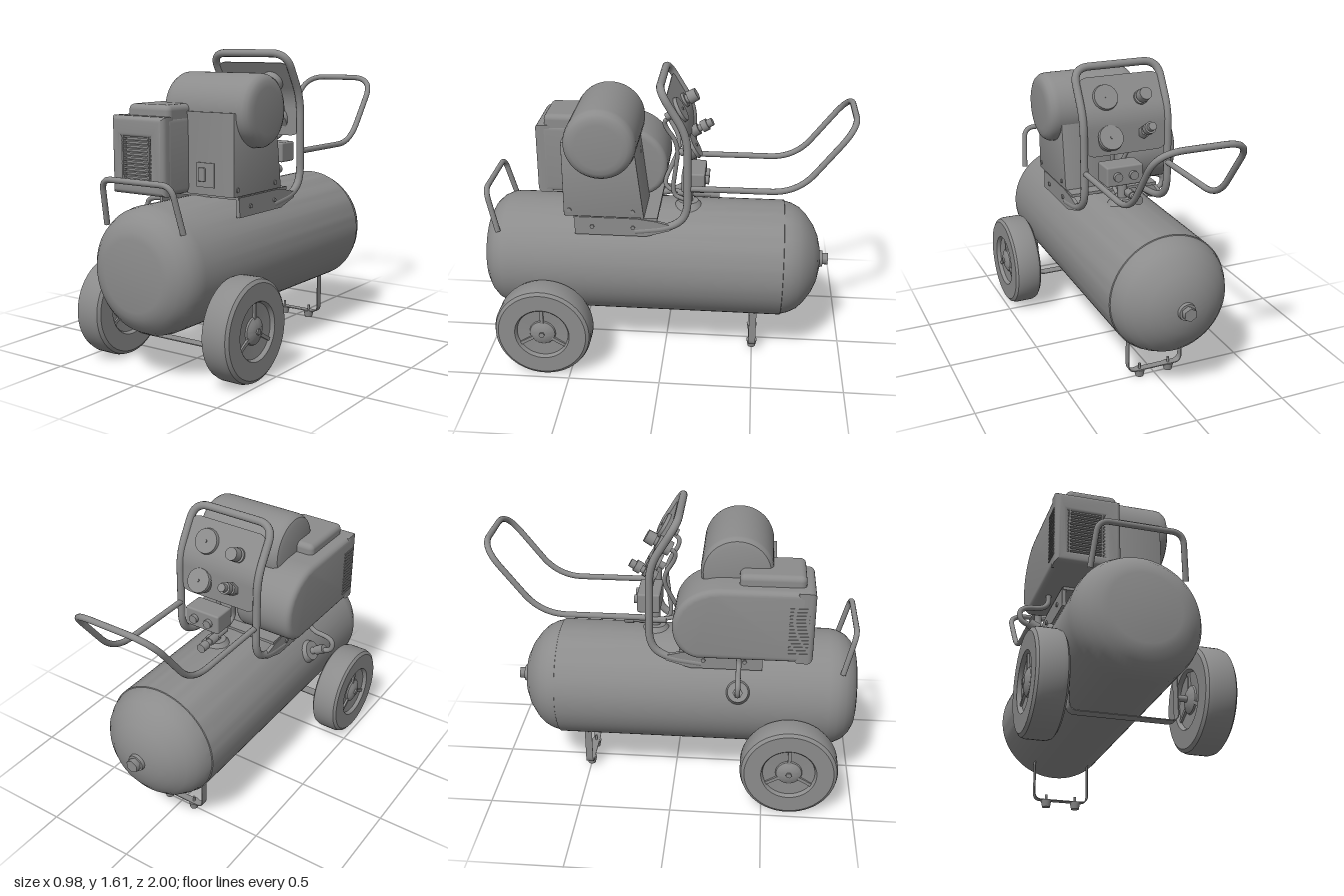
import * as THREE from 'three';
import { toCreasedNormals } from 'three/addons/utils/BufferGeometryUtils.js';
import { RoundedBoxGeometry } from 'three/addons/geometries/RoundedBoxGeometry.js';

const V = (x, y, z) => new THREE.Vector3(x, y, z);
const grey = new THREE.MeshStandardMaterial({ color: 0x8c8c8c });

export function createModel() {
  const root = new THREE.Group();
  const add = (name, geo, parent = root) => {
    const m = new THREE.Mesh(geo, grey);
    m.name = name;
    parent.add(m);
    return m;
  };
  const box = (name, x0, x1, y0, y1, z0, z1, r = 0) => {
    const s = [x1 - x0, y1 - y0, z1 - z0];
    const g = r ? new RoundedBoxGeometry(...s, 3, r) : new THREE.BoxGeometry(...s);
    return add(name, g.translate((x0 + x1) / 2, (y0 + y1) / 2, (z0 + z1) / 2));
  };
  // cylinder between two points
  const rod = (name, a, b, r, r2 = r, sides = 24) => {
    const d = b.clone().sub(a);
    const m = add(name, new THREE.CylinderGeometry(r2, r, d.length(), sides));
    m.position.copy(a).addScaledVector(d, 0.5);
    m.quaternion.setFromUnitVectors(V(0, 1, 0), d.normalize());
    return m;
  };
  // polyline with rounded corners
  const rounded = (pts, r) => {
    const path = new THREE.CurvePath();
    let last = pts[0];
    for (let i = 1; i < pts.length - 1; i++) {
      const p = pts[i];
      const toward = q => {
        const d = q.clone().sub(p);
        return p.clone().addScaledVector(d.clone().normalize(), Math.min(r, d.length() * 0.48));
      };
      const a = toward(pts[i - 1]), b = toward(pts[i + 1]);
      path.add(new THREE.LineCurve3(last, a));
      path.add(new THREE.QuadraticBezierCurve3(a, p, b));
      last = b;
    }
    path.add(new THREE.LineCurve3(last, pts[pts.length - 1]));
    return path;
  };
  const tube = (name, pts, r, bend) => add(name, new THREE.TubeGeometry(rounded(pts, bend), 140, r, 12));
  // mirrors a half path given from the +x end to the middle
  const mirrored = pts => [...pts, ...pts.map(p => V(-p.x, p.y, p.z)).reverse()];
  // thin sheet swept along a path; side gives the direction across it, width(u) its breadth
  const strip = (name, path, side, width) => {
    const g = new THREE.BoxGeometry(1, 0.005, 1, 80, 1, 1), pos = g.attributes.position;
    for (let i = 0; i < pos.count; i++) {
      const u = Math.min(1, Math.max(0, pos.getX(i) + 0.5));
      const up = side.clone().cross(path.getTangentAt(u)).normalize();
      const p = path.getPointAt(u).addScaledVector(up, pos.getY(i)).addScaledVector(side, pos.getZ(i) * width(u));
      pos.setXYZ(i, p.x, p.y, p.z);
    }
    return add(name, toCreasedNormals(g, 0.6));
  };
  const lathe = (pts, crease = 0.6, seg = 64) =>
    toCreasedNormals(new THREE.LatheGeometry(pts.map(p => new THREE.Vector2(...p)), seg), crease);
  const poly = pts => new THREE.Shape(pts.map(p => new THREE.Vector2(...p)));
  // side profile in (z, y), extruded from x0 to x1
  const sideExtrude = (shape, x0, x1, bevel) => toCreasedNormals(new THREE.ExtrudeGeometry(shape, {
    depth: x1 - x0 - 2 * bevel, bevelEnabled: bevel > 0, bevelSize: bevel, bevelThickness: bevel,
    bevelOffset: -bevel, bevelSegments: 4, curveSegments: 16,
  }).rotateY(-Math.PI / 2).translate(x1 - bevel, 0, 0), 0.6);

  // Tank with domed ends, weld seam and rear plug
  add('tank', lathe([[0, -0.86], [0.07, -0.856], [0.13, -0.842], [0.19, -0.815], [0.25, -0.772],
    [0.285, -0.735], [0.308, -0.69], [0.319, -0.65], [0.324, -0.648], [0.324, 0.84], [0.317, 0.885],
    [0.295, 0.93], [0.26, 0.965], [0.215, 0.99], [0.18, 0.997], [0, 1.0]], 0.7)
    .rotateX(Math.PI / 2).translate(0, 0.545, 0));
  rod('tankPlugCollar', V(0, 0.545, -0.84), V(0, 0.545, -0.875), 0.05, 0.045);
  rod('tankPlug', V(0, 0.545, -0.86), V(0, 0.545, -0.905), 0.036, 0.036, 6);

  // Wheels with shallow rims, ribs and domed hubs
  for (const s of [1, -1]) {
    const wheel = new THREE.Group();
    wheel.name = s > 0 ? 'leftWheel' : 'rightWheel';
    wheel.position.set(s * 0.403, 0.265, 0.64);
    wheel.rotation.z = -s * Math.PI / 2;
    root.add(wheel);
    const half = [[0.264, 0.045], [0.257, 0.067], [0.24, 0.079], [0.15, 0.079], [0.145, 0.074],
      [0.14, 0.058], [0.072, 0.054], [0.068, 0.062], [0.045, 0.074], [0.02, 0.079], [0, 0.079]];
    add('tyreAndRim', lathe([...half.map(([r, h]) => [r, -h]).reverse(), ...half]), wheel);
    for (const f of [1, -1]) {
      for (let i = 0; i < 3; i++) {
        const a = Math.PI / 2 + i * Math.PI * 2 / 3;
        const spoke = add('spoke', new THREE.BoxGeometry(0.08, 0.014, 0.018), wheel);
        spoke.position.set(-Math.sin(a) * s * 0.1, f * 0.06, Math.cos(a) * 0.1);
        spoke.rotation.y = Math.atan2(-spoke.position.z, spoke.position.x);
      }
    }
    add('axleNut', new THREE.CylinderGeometry(0.016, 0.016, 0.03, 6).translate(0, 0.073, 0), wheel);
    rod('axle', V(s * 0.268, 0.267, 0.64), V(s * 0.34, 0.267, 0.64), 0.016);
    // rear feet under the leg strip
    rod('foot', V(s * 0.085, 0, -0.5), V(s * 0.085, 0.04, -0.5), 0.022, 0.03);
    rod('footBolt', V(s * 0.085, 0.03, -0.5), V(s * 0.085, 0.072, -0.5), 0.007);
  }
  strip('axleBracket', rounded(mirrored([V(0.27, 0.38, 0.64), V(0.27, 0.14, 0.64)]), 0.04), V(0, 0, 1), () => 0.06);
  strip('rearLeg', rounded(mirrored([V(0.155, 0.28, -0.5), V(0.155, 0.04, -0.5)]), 0.04), V(0, 0, 1), () => 0.04);

  // Handles and the bent frame of the control panel
  tube('frontHandle', mirrored([V(0.24, 0.76, 0.905), V(0.215, 0.995, 0.962)]), 0.015, 0.06);
  tube('rearHandle', mirrored([V(0.24, 1.057, -0.12), V(0.24, 1.057, -0.7), V(0.24, 1.43, -0.983)]), 0.016, 0.14);
  tube('panelFrame', mirrored([V(0.243, 0.8, 0.15), V(0.243, 0.825, -0.04), V(0.243, 0.9, -0.13),
    V(0.243, 1.35, -0.125), V(0.243, 1.59, 0.02)]), 0.021, 0.09);

  // Control panel sheet with rounded corners, gauges, knob and outlet
  strip('controlPanel', rounded([V(0, 1.54, -0.012), V(0, 1.35, -0.125), V(0, 1.14, -0.13)], 0.06), V(1, 0, 0), u => {
    const t = Math.max(0, 1 - Math.min(u, 1 - u) / 0.1);
    return 0.46 - 0.09 * (1 - Math.sqrt(1 - t * t));
  });
  const out = V(0, 0.5, -0.866);
  const onPanel = (name, c, d0, d1, r, r2, sides) =>
    rod(name, c.clone().addScaledVector(out, d0), c.clone().addScaledVector(out, d1), r, r2, sides);
  for (const c of [V(0.1, 1.435, -0.065), V(0.1, 1.235, -0.14)]) {
    onPanel('gaugeBody', c, -0.035, 0.02, 0.062);
    onPanel('gaugeRim', c, 0.01, 0.028, 0.07, 0.066);
    onPanel('gaugePin', c, 0.025, 0.034, 0.008);
    onPanel('gaugeStem', c, -0.07, -0.03, 0.02);
  }
  const knob = V(-0.1, 1.415, -0.07), outlet = V(-0.1, 1.25, -0.14);
  onPanel('regulatorBody', knob, -0.05, 0.03, 0.04);
  onPanel('regulatorStem', knob, 0.02, 0.06, 0.025);
  onPanel('regulatorKnob', knob, 0.045, 0.095, 0.037, 0.034, 16);
  onPanel('outletNut', outlet, -0.04, 0.03, 0.034, 0.034, 6);
  onPanel('outletStem', outlet, 0.02, 0.08, 0.019);
  onPanel('outletSleeve', outlet, 0.05, 0.085, 0.032);
  onPanel('outletTip', outlet, 0.08, 0.115, 0.022);
  tube('gaugeHose', [V(0.1, 1.4, -0.03), V(0.08, 1.36, 0.02), V(0.06, 1.23, -0.07), V(0.04, 0.93, -0.03), V(0.04, 0.9, -0.1)], 0.012, 0.08);
  tube('regulatorHose', [V(-0.1, 1.4, -0.05), V(-0.09, 1.36, 0.015), V(-0.06, 1.2, -0.08), V(0, 0.95, 0.03), V(0, 0.92, -0.12)], 0.012, 0.08);

  // Pressure switch, manifold and outlet cock
  box('pressureSwitch', -0.06, 0.15, 0.99, 1.1, -0.215, -0.09, 0.01);
  for (const x of [0, 0.09]) rod('switchKnob', V(x, 1.045, -0.2), V(x, 1.045, -0.235), 0.024);
  rod('manifoldPost', V(0.02, 0.86, -0.12), V(0.02, 1.01, -0.12), 0.026);
  rod('tankBoss', V(0.02, 0.85, -0.12), V(0.02, 0.89, -0.12), 0.085, 0.055);
  rod('outletPipe', V(0, 0.923, -0.06), V(0, 0.923, -0.29), 0.018);
  rod('outletPipeNut', V(0, 0.923, -0.15), V(0, 0.923, -0.21), 0.025, 0.025, 6);
  rod('outletPipeCollar', V(0, 0.923, -0.24), V(0, 0.923, -0.29), 0.025);

  // Saddle under the motor
  box('saddlePlate', -0.255, 0.255, 0.866, 0.882, 0.03, 0.48);
  const flange = poly([[0.475, 0.775], [0.475, 0.878], [0.14, 0.878], [0.04, 0.865], [-0.04, 0.845],
    [-0.04, 0.815], [0.09, 0.775]]);
  for (const s of [1, -1]) {
    add('saddleFlange', sideExtrude(flange, s * 0.25 - 0.01, s * 0.25 + 0.01, 0));
    for (const z of [0.38, 0.16]) rod('saddleBolt', V(s * 0.25, 0.825, z), V(s * 0.268, 0.825, z), 0.012, 0.012, 6);
  }

  // Drive cover with switch, and the motor drum
  add('driveCover', sideExtrude(poly([[0.53, 0.885], [0.53, 1.305], [0.15, 1.29], [0.1, 0.885]]), -0.03, 0.265, 0.003));
  for (const z of [0.5, 0.16]) rod('coverScrew', V(0.26, 0.92, z), V(0.271, 0.92, z), 0.012);
  box('switchPlate', 0.035, 0.145, 0.925, 1.05, 0.525, 0.536);
  box('powerSwitch', 0.055, 0.092, 0.955, 1.025, 0.53, 0.552, 0.005);
  add('motorDrum', lathe([[0, -0.2], [0.15, -0.2], [0.175, -0.192], [0.188, -0.17], [0.19, -0.15], [0.19, 0.27],
    [0.186, 0.297], [0.172, 0.317], [0.15, 0.328], [0.12, 0.332], [0, 0.332]])
    .rotateZ(-Math.PI / 2).translate(0, 1.307, 0.325));

  // Pump shroud with rounded back and raised top
  const shroud = new THREE.Shape();
  shroud.moveTo(0.7, 0.885);
  shroud.lineTo(0.7, 1.285);
  shroud.lineTo(0.25, 1.285);
  shroud.bezierCurveTo(0.1, 1.28, 0.0, 1.18, 0.0, 1.06);
  shroud.bezierCurveTo(0.0, 0.97, 0.05, 0.9, 0.13, 0.885);
  add('pumpShroud', sideExtrude(shroud, -0.363, -0.02, 0.032));
  box('shroudTop', -0.295, -0.025, 1.1, 1.342, 0.34, 0.68, 0.03);

  // Grille: rounded frame, slats, bars and side louvres
  const frame = poly([[-0.335, 0.913], [-0.05, 0.913], [-0.05, 1.255], [-0.335, 1.255]]);
  frame.holes.push(poly([[-0.357, 0.89], [-0.05, 0.89], [-0.05, 1.235], [-0.357, 1.235]]
    .map(([x, y]) => [-0.2 + (x + 0.2) * 0.75, 1.06 + (y - 1.06) * 0.8])));
  add('grilleFrame', toCreasedNormals(new THREE.ExtrudeGeometry(frame, {
    depth: 0.045, bevelSize: 0.028, bevelThickness: 0.028, bevelOffset: 0, bevelSegments: 5,
  }).translate(0, 0, 0.657), 0.6));
  for (let i = 0; i < 14; i++) {
    const y = 0.94 + i * 0.0198;
    box('grilleSlat', -0.338, -0.065, y - 0.004, y + 0.004, 0.69, 0.722);
    box('sideLouvre', -0.367, -0.35, y - 0.005, y + 0.005, 0.6, 0.7);
  }
  for (const x of [-0.29, -0.12]) box('grilleBar', x - 0.004, x + 0.004, 0.92, 1.21, 0.69, 0.726);

  // Delivery hose into the side of the tank
  tube('deliveryHose', [V(-0.3, 0.92, 0.35), V(-0.3, 0.81, 0.35), V(-0.45, 0.8, 0.35), V(-0.45, 0.72, 0.35),
    V(-0.36, 0.695, 0.35)], 0.014, 0.07);
  rod('hoseNut', V(-0.4, 0.715, 0.35), V(-0.35, 0.687, 0.35), 0.027, 0.027, 6);
  rod('hoseStem', V(-0.37, 0.697, 0.35), V(-0.3, 0.66, 0.35), 0.02);
  rod('hoseBoss', V(-0.27, 0.645, 0.35), V(-0.325, 0.675, 0.35), 0.075, 0.055);
  return root;
}
